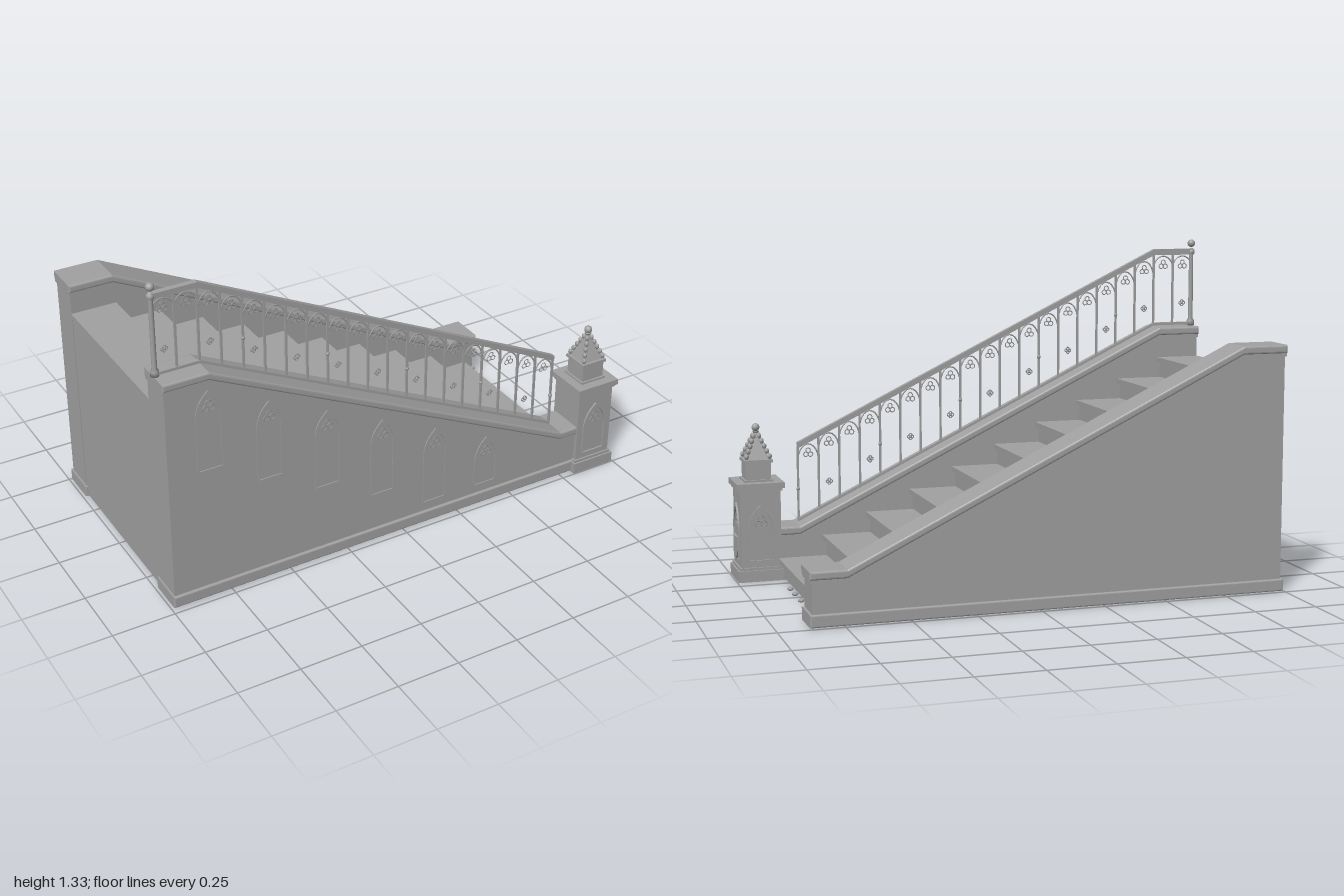
import * as THREE from 'three';

const stone = new THREE.MeshStandardMaterial({ color: 0xa0a0a0 });
stone.name = 'grey stone';

function add(parent, name, geo, x = 0, y = 0, z = 0) {
  const m = new THREE.Mesh(geo, stone);
  m.name = name;
  m.position.set(x, y, z);
  parent.add(m);
  return m;
}

// box from its limits
function block(parent, name, x0, x1, y0, y1, z0, z1) {
  return add(parent, name, new THREE.BoxGeometry(x1 - x0, y1 - y0, z1 - z0),
    (x0 + x1) / 2, (y0 + y1) / 2, (z0 + z1) / 2);
}

// side silhouette extruded from z0 to z1, with an optional rounded edge
function slab(parent, name, pts, z0, z1, bevel = 0) {
  const geo = new THREE.ExtrudeGeometry(new THREE.Shape(pts.map(p => new THREE.Vector2(...p))), {
    depth: z1 - z0 - 2 * bevel, bevelEnabled: bevel > 0, bevelSize: bevel,
    bevelThickness: bevel, bevelOffset: -bevel, bevelSegments: 3,
  });
  return add(parent, name, geo, 0, 0, z0 + bevel);
}

// flat, sloping, flat line that follows the stair
const slope = (x1, dy, x0 = -0.99) => [[x0, 0.965 + dy], [-0.81, 0.965 + dy], [0.74, 0.21 + dy], [x1, 0.21 + dy]];
const band = (x1, top, bottom, x0) => [...slope(x1, bottom, x0), ...slope(x1, top, x0).reverse()];

// pointed arch outline, standing on y = 0
function archPath(target, w, h, inset = 0) {
  const a = w / 2 - inset, top = h - inset * 1.4, spring = h - w * 0.95;
  target.moveTo(-a, inset);
  target.lineTo(a, inset);
  target.lineTo(a, spring);
  target.quadraticCurveTo(a * 0.95, spring + (top - spring) * 0.6, 0, top);
  target.quadraticCurveTo(-a * 0.95, spring + (top - spring) * 0.6, -a, spring);
  target.closePath();
  return target;
}

// ring of small circles: trefoil or quatrefoil
function foil(parent, name, count, r, tube, x, y, z) {
  for (let i = 0; i < count; i++) {
    const a = Math.PI / 2 + (i * 2 * Math.PI) / count;
    add(parent, name, new THREE.TorusGeometry(r, tube, 4, 10), x + Math.cos(a) * r * 1.15, y + Math.sin(a) * r * 1.15, z);
  }
}

// thin raised pointed window frame with a trefoil in its head
function archPanel(w, h, depth) {
  const g = new THREE.Group();
  g.name = 'archPanel';
  const shape = archPath(new THREE.Shape(), w, h);
  shape.holes.push(archPath(new THREE.Path(), w, h, 0.007));
  add(g, 'archFrame', new THREE.ExtrudeGeometry(shape, { depth, bevelEnabled: false, curveSegments: 8 }));
  foil(g, 'archTrefoil', 3, w * 0.11, 0.002, 0, h - w * 0.62, 0.001);
  return g;
}

function makeSteps(root) {
  const steps = new THREE.Group();
  steps.name = 'steps';
  const pts = [[-0.98, 0.012]];
  for (let i = 0; i < 10; i++) {
    const edge = 0.83 - 0.181 * i, top = 0.085 + 0.0839 * i;
    pts.push([edge - 0.016, i ? top - 0.0839 - 0.01 : 0.012], [edge - 0.016, top - 0.01]);
    const back = i === 9 ? -0.985 : edge - 0.215;
    slab(steps, 'tread', [[back, top - 0.02], [edge, top - 0.02], [edge, top], [back, top]], -0.36, 0.335, 0.004);
  }
  pts.push([-0.98, 0.83]);
  slab(steps, 'risers', pts, -0.36, 0.335);
  // small ornaments at the foot of the first step
  for (const z of [0.11, 0.02, -0.09]) {
    add(steps, 'footOrnament', new THREE.SphereGeometry(0.013, 8, 6), 0.828, 0.01, z).scale.set(1, 0.6, 1.2);
  }
  root.add(steps);
}

// sloping side wall between z0 and z1
function makeWall(root, name, x1, z0, z1) {
  const g = new THREE.Group();
  g.name = name;
  slab(g, 'wallBody', [[-0.983, 0.02], [x1 - 0.01, 0.02], ...slope(x1 - 0.01, -0.02, -0.983).reverse()], z0 + 0.011, z1 - 0.011);
  slab(g, 'wallCap', band(x1, 0, -0.032), z0, z1, 0.008);
  slab(g, 'capMoulding', band(x1 - 0.004, -0.03, -0.045, -0.988), z0 + 0.005, z1 - 0.005);
  slab(g, 'wallPlinth', [[-0.99, 0.004], [x1, 0.004], [x1, 0.052], [-0.99, 0.052]], z0, z1, 0.006);
  root.add(g);
  return g;
}

function makePillar(root) {
  const g = new THREE.Group();
  g.name = 'newelPillar';
  const box = (name, half, y0, y1) => block(g, name, -half, half, y0, y1, -half, half);
  box('pillarPlinth', 0.095, 0, 0.045);
  box('pillarPlinthStep', 0.088, 0.045, 0.056);
  box('pillarBody', 0.081, 0.056, 0.37);
  box('pillarNeck', 0.088, 0.362, 0.373);
  box('pillarCap', 0.096, 0.373, 0.396);
  box('finialFoot', 0.058, 0.396, 0.404);
  box('finialBlock', 0.05, 0.4, 0.475);
  box('finialSlab', 0.057, 0.472, 0.484);
  // arches on the three open faces
  for (const turn of [0, 1, 2]) {
    const p = archPanel(0.11, 0.23, 0.007);
    const face = new THREE.Group();
    face.name = 'pillarFace';
    p.position.set(0, 0.078, 0.081);
    face.add(p);
    face.rotation.y = turn * Math.PI / 2;
    g.add(face);
  }
  // shield on the end face
  const s = new THREE.Shape();
  s.moveTo(-0.039, 0.175);
  s.quadraticCurveTo(0, 0.168, 0.039, 0.175);
  s.lineTo(0.039, 0.12);
  s.quadraticCurveTo(0.034, 0.098, 0, 0.08);
  s.quadraticCurveTo(-0.034, 0.098, -0.039, 0.12);
  const shield = add(g, 'shield', new THREE.ExtrudeGeometry(s, { depth: 0.009, bevelEnabled: false }), 0.081);
  shield.rotation.y = Math.PI / 2;
  // pyramid spire with crockets up its edges
  const spire = new THREE.CylinderGeometry(0.008, 0.064, 0.11, 4).toNonIndexed();
  spire.computeVertexNormals();
  add(g, 'spire', spire, 0, 0.538, 0).rotation.y = Math.PI / 4;
  for (const sx of [-1, 1]) for (const sz of [-1, 1]) for (let i = 0; i < 5; i++) {
    const d = 0.046 - i * 0.0088;
    add(g, 'crocket', new THREE.SphereGeometry(0.0095, 6, 5), sx * d, 0.497 + i * 0.0195, sz * d).scale.y = 1.25;
  }
  add(g, 'finialCollar', new THREE.CylinderGeometry(0.014, 0.01, 0.008, 10), 0, 0.59, 0);
  add(g, 'finialBall', new THREE.SphereGeometry(0.016, 12, 8), 0, 0.609, 0);
  g.position.set(0.9, 0, 0.402);
  root.add(g);
}

function makeRailing(root) {
  const g = new THREE.Group();
  g.name = 'railing';
  const z = 0.402, lowY = x => 0.976 - Math.max(0, x + 0.81) * 0.487;
  // rails following the slope
  const rail = (name, y0, y1, half) => {
    const xs = [-0.985, -0.81, 0.732];
    slab(g, name, [...xs.map(x => [x, lowY(x) + y0]), ...xs.map(x => [x, lowY(x) + y1]).reverse()], z - half, z + half);
  };
  rail('handrail', 0.302, 0.315, 0.011);
  rail('upperRail', 0.29, 0.302, 0.005);
  rail('bottomRail', -0.007, 0.004, 0.008);
  // bays: baluster, arch, trefoil and every second bay a quatrefoil
  const xs = [-0.985, -0.8975];
  for (let i = 0; i <= 18; i++) xs.push(-0.81 + i * 0.0856);
  xs.forEach((x, i) => {
    const y = lowY(x);
    if (i) block(g, 'baluster', x - 0.004, x + 0.004, y, y + 0.3, z - 0.004, z + 0.004);
    if (i % 4 === 0 && i) add(g, 'balusterKnot', new THREE.SphereGeometry(0.008, 8, 6), x, y + 0.125, z);
    if (i === xs.length - 1) return;
    const x1 = xs[i + 1], mid = (x + x1) / 2, w = (x1 - x) / 2, m = lowY(mid);
    const spring = lowY(x1) + 0.235, apex = m + 0.285;
    const pts = [];
    for (let k = 0; k <= 8; k++) {
      const a = Math.PI * (1 - k / 8);
      pts.push(new THREE.Vector3(mid + Math.cos(a) * w, spring + Math.sin(a) * (apex - spring), z));
    }
    add(g, 'bayArch', new THREE.TubeGeometry(new THREE.CatmullRomCurve3(pts), 12, 0.003, 5));
    foil(g, 'bayTrefoil', 3, 0.0095, 0.0022, mid, m + 0.248, z);
    if (i % 2 === 0) {
      foil(g, 'bayQuatrefoil', 4, 0.006, 0.0025, mid, m + 0.086, z);
      add(g, 'quatrefoilBoss', new THREE.SphereGeometry(0.005, 6, 5), mid, m + 0.086, z);
    }
  });
  // turned end post
  const profile = [[0, 0], [0.016, 0], [0.016, 0.02], [0.01, 0.03], [0.009, 0.3], [0.015, 0.308], [0.015, 0.32], [0.007, 0.328], [0, 0.33]];
  add(g, 'endPost', new THREE.LatheGeometry(profile.map(p => new THREE.Vector2(...p)), 10), -0.982, 0.965, z);
  add(g, 'endPostBall', new THREE.SphereGeometry(0.016, 12, 8), -0.982, 1.314, z);
  root.add(g);
}

export function createModel() {
  const root = new THREE.Group();
  root.name = 'staircase';
  makeSteps(root);
  makeWall(root, 'backWall', 0.88, -0.498, -0.346);
  const front = makeWall(root, 'frontWall', 0.83, 0.325, 0.478);
  // blind windows stepping down the front wall
  for (let i = 0; i < 6; i++) {
    const top = 0.89 - i * 0.117, bottom = Math.max(0.085, top - 0.335);
    const p = archPanel(0.105, top - bottom, 0.004);
    p.position.set(-0.815 + i * 0.239, bottom, 0.467);
    front.add(p);
  }
  makePillar(root);
  makeRailing(root);
  return root;
}
